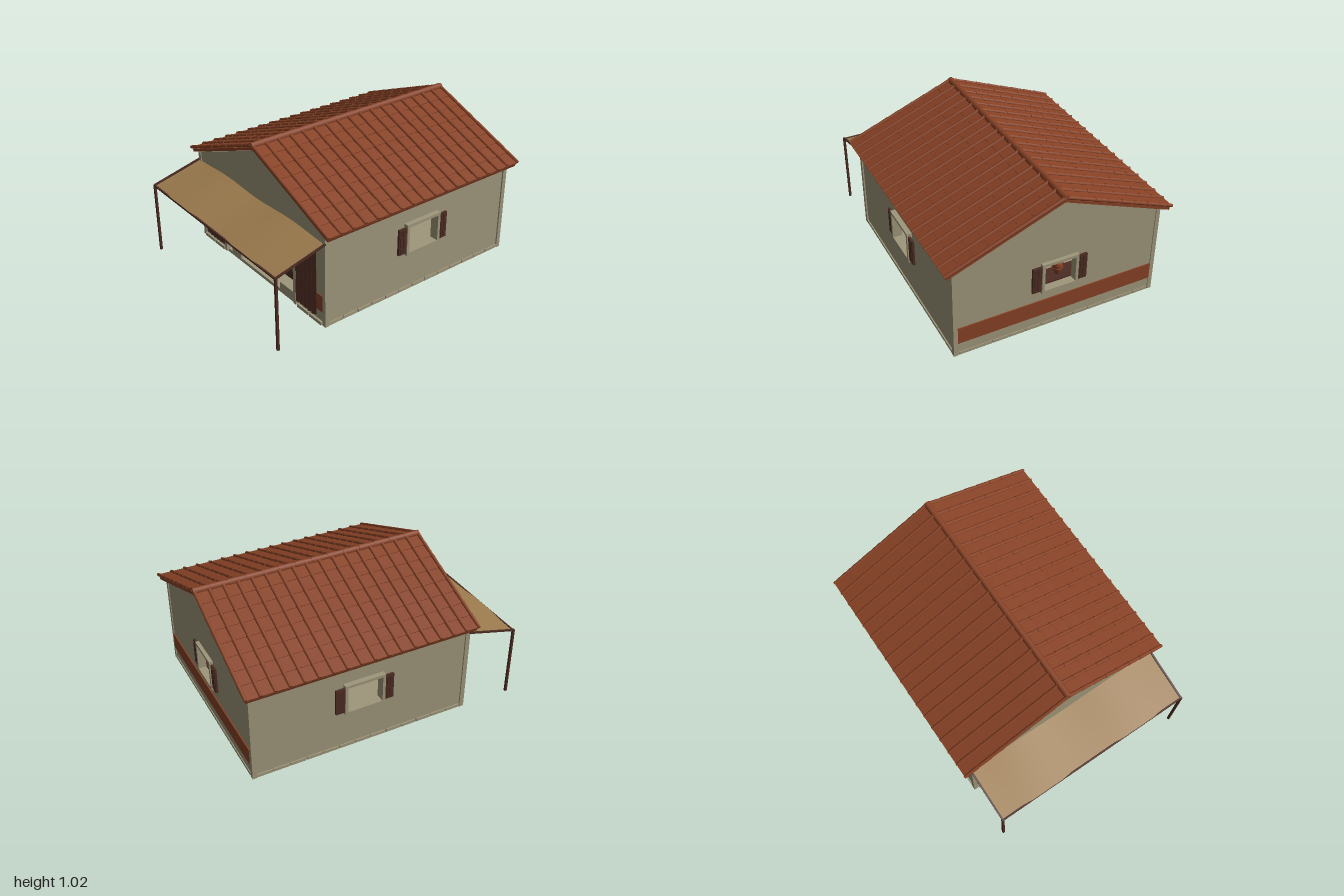
import * as THREE from 'three';
import { mergeGeometries } from 'three/addons/utils/BufferGeometryUtils.js';

const mat = (name, color, extra = {}) => {
  const m = new THREE.MeshStandardMaterial({ color, ...extra });
  m.name = name;
  return m;
};

export function createModel() {
  const root = new THREE.Group();
  root.name = 'potteryShop';
  const plaster = mat('plaster', 0xa0977b);
  const tile = mat('terracotta', 0x884225);
  const wood = mat('darkWood', 0x4c2c23);
  const cloth = mat('awningCloth', 0x9c7b4d, { side: THREE.DoubleSide });

  const add = (name, geo, material, parent = root) => {
    const m = new THREE.Mesh(geo, material);
    m.name = name;
    parent.add(m);
    return m;
  };
  // Box given by its limits on each axis
  const boxGeo = (x0, x1, y0, y1, z0, z1) =>
    new THREE.BoxGeometry(x1 - x0, y1 - y0, z1 - z0).translate((x0 + x1) / 2, (y0 + y1) / 2, (z0 + z1) / 2);
  const box = (name, material, ...b) => add(name, boxGeo(...b), material);

  const polygon = (pts) => new THREE.Shape(pts.map(([x, y]) => new THREE.Vector2(x, y)));
  const rect = (x0, x1, y0, y1) => [[x0, y0], [x1, y0], [x1, y1], [x0, y1]];
  const panel = (outline, hole, depth) => {
    const s = polygon(outline);
    s.holes.push(polygon([...hole].reverse()));
    return new THREE.ExtrudeGeometry(s, { depth, bevelEnabled: false });
  };

  // Walls
  const gable = [[-0.725, 0], [0.725, 0], [0.725, 0.67], [0, 0.957], [-0.725, 0.67]];
  add('frontWall', panel(gable, rect(-0.405, 0.405, 0.025, 0.54), 0.03).translate(0, 0, 0.595), plaster);
  add('backWall', panel(gable, rect(-0.11, 0.11, 0.31, 0.5), 0.03).translate(0, 0, -0.95), plaster);
  for (const s of [-1, 1]) {
    const g = panel(rect(-0.595, 0.92, 0, 0.67), rect(0.04, 0.29, 0.31, 0.5), 0.03);
    add('sideWall', g.rotateY(Math.PI / 2).translate(s * 0.71 - 0.015, 0, 0), plaster);
  }
  box('floor', plaster, -0.72, 0.72, 0, 0.025, -0.94, 0.62);

  // Corner posts, base blocks and painted bands
  for (const s of [-1, 1]) {
    for (const z of [-0.94, 0.615]) box('cornerPost', plaster, s * 0.72 - 0.015, s * 0.72 + 0.015, 0, 0.67, z - 0.016, z + 0.016);
    for (let i = 0; i < 13; i++) {
      const z = -0.925 + i * 0.1175;
      box('sideBaseBlock', plaster, s * 0.722 - 0.012, s * 0.722 + 0.012, 0.002, 0.024, z, z + 0.112);
    }
    for (const x of [0.44, 0.575]) {
      const c = s * (x + 0.063);
      box('frontBaseBlock', plaster, c - 0.061, c + 0.061, 0.002, 0.026, 0.61, 0.64);
    }
    box('frontBand', tile, s * 0.57 - 0.135, s * 0.57 + 0.135, 0.1, 0.22, 0.622, 0.63);
    box('doorPost', plaster, s * 0.418 - 0.013, s * 0.418 + 0.013, 0.01, 0.55, 0.61, 0.64);
  }
  for (let i = 0; i < 12; i++) {
    const x = -0.7 + i * 0.117;
    box('backBaseBlock', plaster, x, x + 0.112, 0.002, 0.024, -0.956, -0.935);
  }
  box('backBand', tile, -0.705, 0.705, 0.1, 0.22, -0.958, -0.949);
  box('lintel', plaster, -0.65, 0.65, 0.55, 0.58, 0.615, 0.645);

  // Windows: frame through the wall, open shutters on either side
  const makeWindow = (w, x, z, turn) => {
    const g = new THREE.Group();
    g.name = 'window';
    const a = w / 2;
    const frame = panel(rect(-a - 0.02, a + 0.02, -0.115, 0.115), rect(-a, a, -0.095, 0.095), 0.055);
    add('windowFrame', frame.translate(0, 0, -0.03), plaster, g);
    for (const s of [-1, 1]) {
      const c = s * (a + 0.053);
      add('shutter', boxGeo(c - 0.032, c + 0.032, -0.095, 0.095, 0.002, 0.018), wood, g);
      for (const dx of [-0.011, 0.011]) add('shutterBoard', boxGeo(c + dx - 0.009, c + dx + 0.009, -0.085, 0.085, 0.016, 0.022), wood, g);
    }
    g.position.set(x, 0.406, z);
    g.rotation.y = turn;
    root.add(g);
  };
  makeWindow(0.25, 0.735, -0.165, Math.PI / 2);
  makeWindow(0.25, -0.735, -0.165, -Math.PI / 2);
  makeWindow(0.22, 0, -0.95, Math.PI);

  // Folding doors: pleated leaves either side of the doorway
  for (const s of [-1, 1]) {
    for (let i = 0; i < 10; i++) {
      const leaf = add('foldingDoorLeaf', new THREE.BoxGeometry(0.027, 0.47, 0.008), wood);
      leaf.position.set(s * (0.442 + i * 0.0213), 0.29, 0.64);
      leaf.rotation.y = (i % 2 ? 1 : -1) * 0.7;
    }
  }

  // Roof: one slope built along +x, then turned for the other side
  const slope = Math.atan(0.395);
  const slopeLength = 0.785 / Math.cos(slope);
  const rows = 8;
  const step = slopeLength / rows;
  const covers = [];
  const pans = [];
  for (let r = 0; r < rows; r++) {
    const u = (r + 0.5) * step;
    pans.push(new THREE.BoxGeometry(step + 0.006, 0.01, 1.63).rotateZ(0.04).translate(u, 0.014, 0));
    for (let i = 0; i < 18; i++) {
      const c = new THREE.CylinderGeometry(0.011, 0.0135, step + 0.006, 8);
      covers.push(c.rotateZ(Math.PI / 2).translate(u, 0.021, -0.8203 + i * 0.0965));
    }
  }
  // the wide end of each cover tile faces down the slope
  covers.forEach((c, i) => {
    const u = (Math.floor(i / 18) + 0.5) * step;
    c.translate(-u, 0, 0).rotateY(0).scale(1, 1, 1);
    const p = c.attributes.position;
    const zc = -0.8203 + (i % 18) * 0.0965;
    c.translate(0, 0, -zc).rotateY(Math.PI).translate(u, 0, zc);
    p.needsUpdate = true;
  });
  const deck = new THREE.BoxGeometry(slopeLength, 0.02, 1.63).translate(slopeLength / 2, -0.006, 0);
  const coverGeo = mergeGeometries(covers);
  const panGeo = mergeGeometries(pans);
  for (const turn of [0, Math.PI]) {
    const side = new THREE.Group();
    side.name = 'roofSlope';
    const tilt = new THREE.Group();
    tilt.name = 'tiltedRoof';
    tilt.rotation.z = -slope;
    add('roofDeck', deck, tile, tilt);
    add('panTiles', panGeo, tile, tilt);
    add('coverTiles', coverGeo, tile, tilt);
    side.add(tilt);
    side.rotation.y = turn;
    side.position.set(0, 0.982, -0.17);
    root.add(side);
  }
  // Ridge caps
  for (let i = 0; i < 14; i++) {
    const cap = new THREE.CylinderGeometry(0.022, 0.025, 0.12, 10).rotateX(Math.PI / 2);
    add('ridgeCap', cap, tile).position.set(0, 0.998, -0.939 + i * 0.1183);
  }

  // Awning: rippled cloth on a light wooden frame
  const awning = new THREE.PlaneGeometry(1.46, 1, 40, 6);
  const p = awning.attributes.position;
  for (let i = 0; i < p.count; i++) {
    const x = p.getX(i);
    const t = 0.5 - p.getY(i);
    const ripple = 0.008 * Math.cos((x - 0.37) * Math.PI * 2 / 0.74) * (1 - 0.55 * t);
    p.setXYZ(i, x, 0.615 - 0.095 * t + ripple, 0.625 + 0.37 * t);
  }
  awning.computeVertexNormals();
  add('awningCloth', awning, cloth);
  for (const s of [-1, 1]) {
    box('awningPole', wood, s * 0.733 - 0.008, s * 0.733 + 0.008, 0, 0.525, 0.984, 1);
    const rail = add('awningRail', new THREE.BoxGeometry(0.012, 0.012, 0.38), wood);
    rail.position.set(s * 0.733, 0.568, 0.81);
    rail.rotation.x = Math.atan(0.095 / 0.37);
  }
  box('awningFrontRail', wood, -0.735, 0.735, 0.511, 0.522, 0.986, 0.998);

  // Counter and small blocks in the doorway
  box('counter', wood, -0.04, 0.37, 0.025, 0.235, 0.28, 0.5);
  box('counterTop', plaster, -0.06, 0.385, 0.235, 0.255, 0.26, 0.515);
  box('doorBlock', plaster, -0.35, -0.24, 0.025, 0.085, 0.55, 0.63);
  box('doorBlock', plaster, -0.405, -0.35, 0.025, 0.085, 0.53, 0.6);
  box('doorBlock', plaster, 0.24, 0.405, 0.025, 0.085, 0.55, 0.63);

  // Shelves with rows of vases
  for (const y of [0.145, 0.313, 0.473]) box('shelf', wood, -0.69, 0.69, y - 0.008, y + 0.008, -0.92, -0.8);
  const profile = [[0, 0], [0.019, 0], [0.019, 0.008], [0.026, 0.022], [0.034, 0.05], [0.036, 0.068], [0.033, 0.086],
    [0.023, 0.1], [0.015, 0.107], [0.015, 0.114], [0.021, 0.12], [0.021, 0.126], [0.014, 0.126], [0, 0.112]];
  const vaseGeo = new THREE.LatheGeometry(profile.map(([x, y]) => new THREE.Vector2(x, y)), 14);
  const ringGeo = new THREE.TorusGeometry(0.035, 0.003, 5, 14).rotateX(Math.PI / 2);
  for (const y of [0.153, 0.321]) {
    for (let i = 0; i < 6; i++) {
      const vase = new THREE.Group();
      vase.name = 'vase';
      add('vaseBody', vaseGeo, tile, vase);
      for (const h of [0.05, 0.084]) add('vaseRing', ringGeo, tile, vase).position.y = h;
      vase.position.set(-0.467 + i * 0.212, y, -0.86);
      root.add(vase);
    }
  }
  return root;
}
